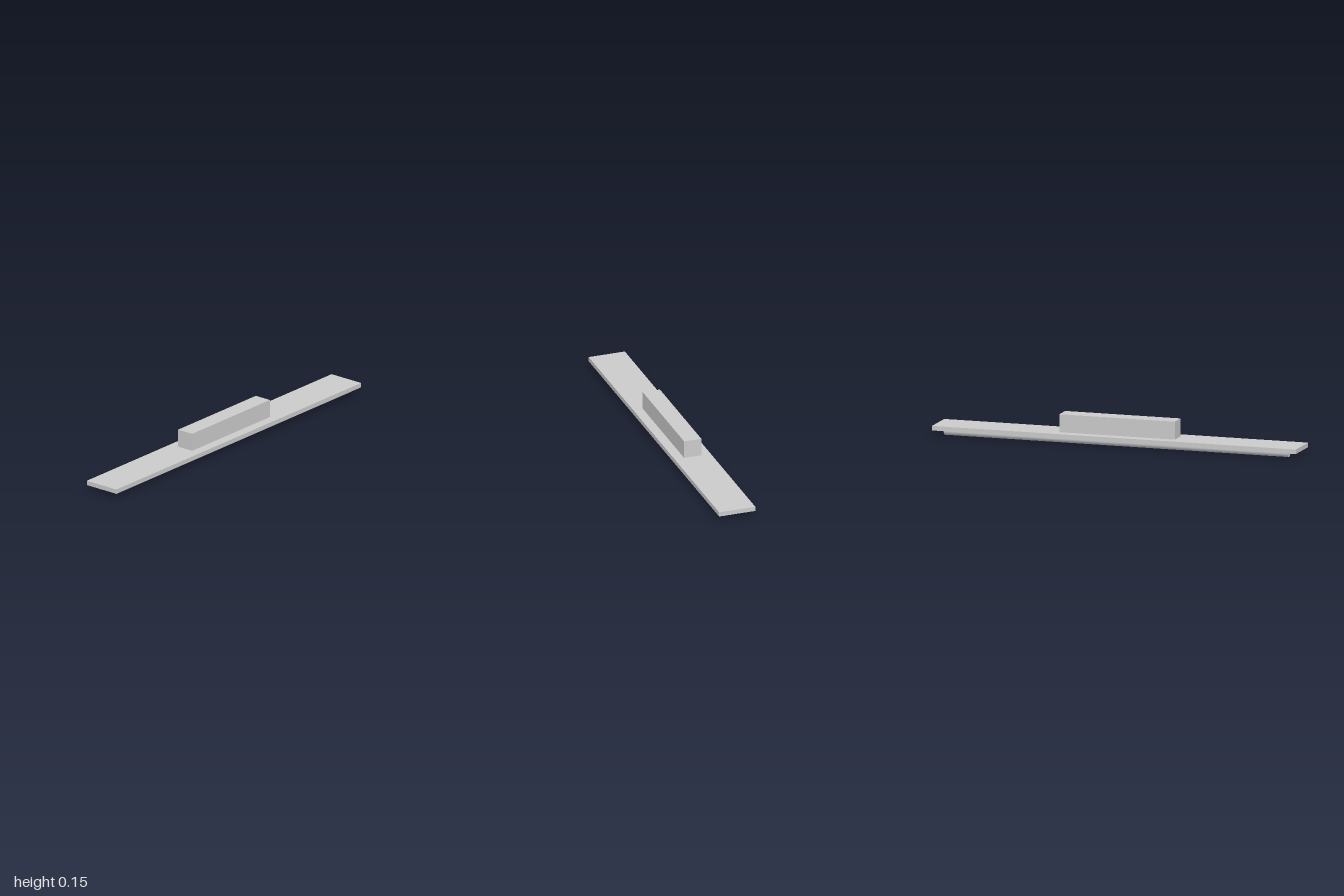
import * as THREE from 'three';

export function createModel() {
  const group = new THREE.Group();
  const material = new THREE.MeshStandardMaterial({ color: 0xcccccc });

  const add = (name, geometry, x, y) => {
    const mesh = new THREE.Mesh(geometry, material);
    mesh.name = name;
    mesh.position.set(x, y, 0);
    group.add(mesh);
  };

  // Long flat mounting plate
  add('plate', new THREE.BoxGeometry(0.2, 0.024, 2), 0, 0.0405);

  // Ballast housing on top
  add('housing', new THREE.BoxGeometry(0.095, 0.095, 0.635), 0, 0.1);

  // Two lamp tubes partly sunk into the underside
  const radius = 0.0238;
  const tube = new THREE.CylinderGeometry(radius, radius, 1.89, 32).rotateX(Math.PI / 2);
  for (const side of [1, -1]) {
    add(side > 0 ? 'leftTube' : 'rightTube', tube, side * 0.0475, radius);
  }

  return group;
}
